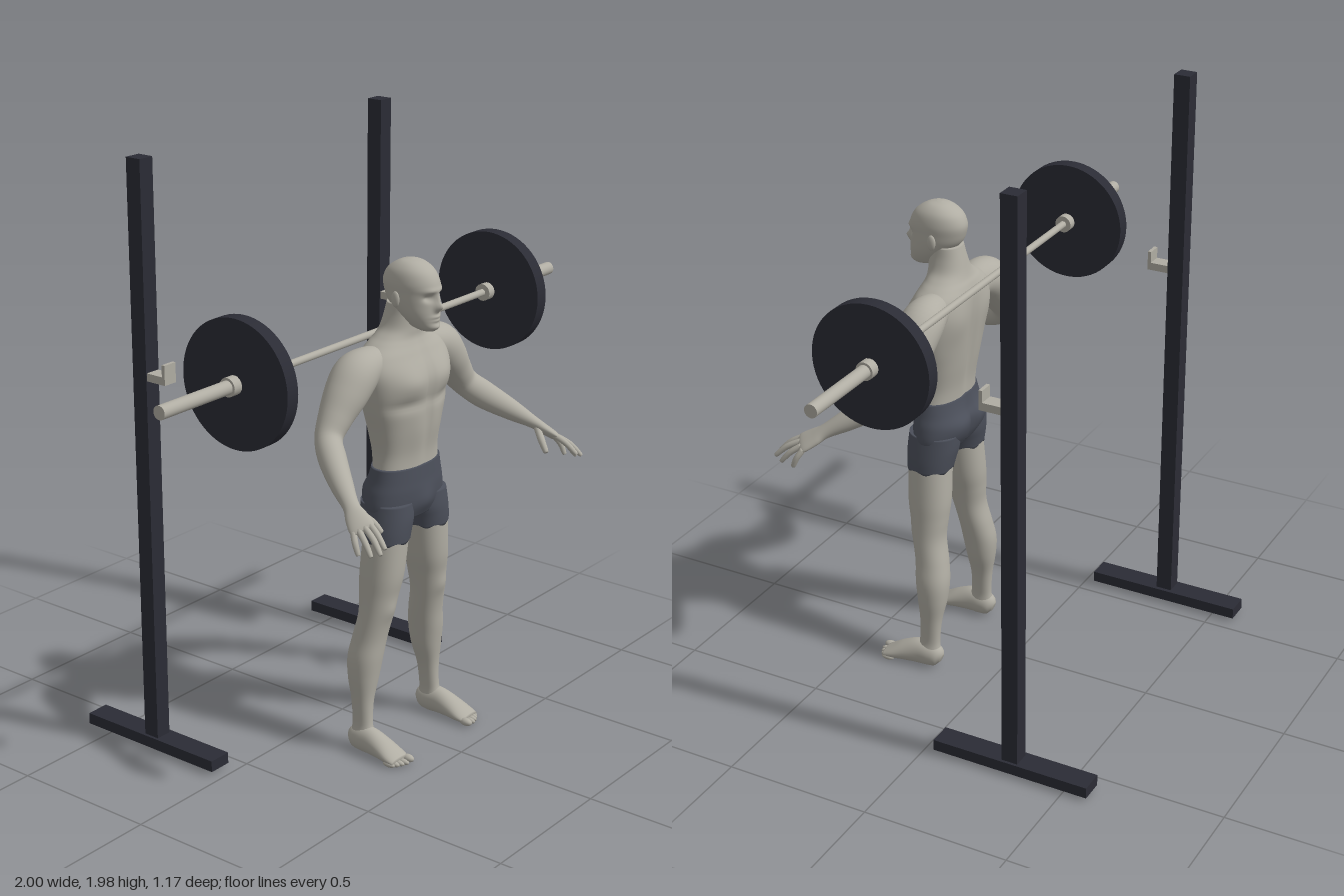
import * as THREE from 'three';

const material = (name, color) => Object.assign(new THREE.MeshStandardMaterial({ color }), { name });
const V = (x, y, z) => new THREE.Vector3(x, y, z);

// Catmull-Rom resampling of rows of numbers, n steps between neighbours
function resample(rows, n) {
  const out = [], last = rows.length - 1;
  for (let i = 0; i < last; i++) {
    const a = rows[Math.max(i - 1, 0)], b = rows[i], c = rows[i + 1], d = rows[Math.min(i + 2, last)];
    for (let s = 0; s < n; s++) {
      const t = s / n;
      out.push(b.map((p, k) => p + 0.5 * t * (c[k] - a[k] +
        t * (2 * a[k] - 5 * p + 4 * c[k] - d[k] + t * (3 * (p - c[k]) + d[k] - a[k])))));
    }
  }
  out.push(rows[last]);
  return out;
}

// Closed smooth skin over a list of rings, capped at both ends
function skinRings(rings) {
  const n = rings[0].length, m = rings.length, pts = rings.flat(), index = [];
  for (let i = 0; i < m - 1; i++) for (let j = 0; j < n; j++) {
    const a = i * n + j, b = i * n + (j + 1) % n;
    index.push(a, a + n, b, b, a + n, b + n);
  }
  for (const ring of [rings[0], rings[m - 1]]) {
    const centre = V(0, 0, 0);
    ring.forEach(p => centre.addScaledVector(p, 1 / n));
    pts.push(centre);
  }
  for (let j = 0; j < n; j++) {
    const k = (j + 1) % n, top = (m - 1) * n;
    index.push(m * n, j, k, m * n + 1, top + k, top + j);
  }
  const g = new THREE.BufferGeometry().setFromPoints(pts);
  g.setIndex(index);
  g.computeVertexNormals();
  return g;
}

// Horizontal sections, bottom to top: [y, centreX, halfWidth, zFront, zBack]
// bumps: [x, y, side, sizeX, sizeY, height]; those off centre are mirrored
function loft(rows, bumps = [], { sides = 48, steps = 6, power = 0.9, hem = 0 } = {}) {
  const all = bumps.flatMap(b => b[0] ? [b, [-b[0], ...b.slice(1)]] : [b]);
  const bend = v => Math.sign(v) * Math.abs(v) ** power;
  return skinRings(resample(rows, steps).map(([y, cx, hw, zf, zb], i) =>
    Array.from({ length: sides }, (_, j) => {
      const a = j / sides * Math.PI * 2, s = Math.sin(a);
      const p = V(cx + hw * bend(Math.cos(a)), y, (zf + zb) / 2 + (zf - zb) / 2 * bend(s));
      for (const [bx, by, side, sx, sy, h] of all)
        p.z += side * h * Math.min(1, 2 * Math.max(0, s * side)) *
          Math.exp(-(((p.x - bx) / sx) ** 2) - ((y - by) / sy) ** 2);
      if (i === 0) p.y += hem * Math.sin(a * 7);
      return p;
    })));
}

// Oval sections along a path: [x, y, z, radiusAlongWide, radiusAcross]
function limb(rows, wide, side = 1, sides = 20, steps = 5) {
  const r = resample(rows, steps).map(([x, ...rest]) => [x * side, ...rest]);
  const at = i => V(...r[Math.min(Math.max(i, 0), r.length - 1)].slice(0, 3));
  return skinRings(r.map((row, i) => {
    const t = at(i + 1).sub(at(i - 1)).normalize();
    const u = V(wide[0] * side, wide[1], wide[2]);
    u.addScaledVector(t, -u.dot(t)).normalize();
    const v = u.clone().cross(t);
    return Array.from({ length: sides }, (_, j) => {
      const a = j / sides * Math.PI * 2;
      return at(i).addScaledVector(u, row[3] * Math.cos(a)).addScaledVector(v, row[4] * Math.sin(a));
    });
  }));
}

export function createModel() {
  const skin = material('skin', 0xb0ada3), cloth = material('shorts cloth', 0x4c505b);
  const steel = material('bar steel', 0xb0ada3), iron = material('dark iron', 0x2b2c35);
  const model = new THREE.Group(), rack = new THREE.Group(), barbell = new THREE.Group(), athlete = new THREE.Group();
  rack.name = 'rack'; barbell.name = 'barbell'; athlete.name = 'athlete';
  model.add(rack, barbell, athlete);

  const add = (group, name, geometry, mat, x = 0, y = 0, z = 0) => {
    const mesh = new THREE.Mesh(geometry, mat);
    mesh.name = name;
    mesh.position.set(x, y, z);
    group.add(mesh);
    return mesh;
  };
  const box = (name, mat, w, h, d, x, y, z) => add(rack, name, new THREE.BoxGeometry(w, h, d), mat, x, y, z);
  const rod = (name, mat, r, x0, x1, n = 32) =>
    add(barbell, name, new THREE.CylinderGeometry(r, r, Math.abs(x1 - x0), n).rotateZ(Math.PI / 2), mat, (x0 + x1) / 2, 1.37, 0.13);

  rod('bar', steel, 0.012, -0.61, 0.61, 20);

  // Torso with chest, belly and back relief, and neck
  add(athlete, 'torso', loft([
    [0.955, 0, 0.138, 0.333, 0.183], [1.02, 0, 0.134, 0.333, 0.178], [1.1, 0, 0.15, 0.342, 0.165],
    [1.17, 0, 0.17, 0.348, 0.156], [1.24, 0, 0.185, 0.35, 0.15], [1.3, 0, 0.19, 0.343, 0.147],
    [1.345, 0, 0.17, 0.325, 0.148], [1.375, 0, 0.13, 0.31, 0.157], [1.395, 0, 0.1, 0.303, 0.167],
    [1.42, 0, 0.074, 0.303, 0.175], [1.46, 0, 0.06, 0.303, 0.185], [1.5, 0, 0.054, 0.3, 0.195],
  ], [
    [0.08, 1.26, 1, 0.07, 0.045, 0.016], [0, 1.2, 1, 0.012, 0.16, -0.01],
    [0.045, 1.1, 1, 0.035, 0.09, 0.006], [0.09, 1.19, 1, 0.07, 0.018, -0.008],
    [0, 1.15, -1, 0.02, 0.16, -0.014], [0.1, 1.27, -1, 0.06, 0.07, 0.01],
  ], { sides: 72 }), skin);

  // Head with face relief
  add(athlete, 'head', loft([
    [1.42, 0, 0.02, 0.364, 0.31], [1.432, 0, 0.036, 0.374, 0.28], [1.455, 0, 0.051, 0.374, 0.255],
    [1.48, 0, 0.061, 0.374, 0.225], [1.51, 0, 0.067, 0.373, 0.195], [1.54, 0, 0.069, 0.373, 0.182],
    [1.57, 0, 0.07, 0.372, 0.178], [1.6, 0, 0.064, 0.357, 0.19], [1.62, 0, 0.052, 0.335, 0.212],
    [1.634, 0, 0.033, 0.308, 0.238], [1.64, 0, 0.006, 0.28, 0.262],
  ], [
    [0, 1.5, 1, 0.012, 0.015, 0.022], [0, 1.525, 1, 0.008, 0.02, 0.01], [0.028, 1.53, 1, 0.014, 0.011, -0.013],
    [0.025, 1.552, 1, 0.025, 0.009, 0.006], [0, 1.468, 1, 0.02, 0.006, 0.006],
    [0, 1.456, 1, 0.018, 0.005, 0.005], [0, 1.435, 1, 0.02, 0.01, 0.006],
  ], { sides: 80, steps: 8, power: 0.95 }), skin);

  // Shorts, upper part
  add(athlete, 'shortsSeat', loft([
    [0.8, 0, 0.15, 0.325, 0.185], [0.84, 0, 0.168, 0.338, 0.165], [0.89, 0, 0.163, 0.342, 0.16],
    [0.93, 0, 0.151, 0.34, 0.172], [0.975, 0, 0.141, 0.337, 0.18],
  ], [
    [0.075, 0.885, -1, 0.06, 0.05, 0.014], [0, 0.87, -1, 0.014, 0.07, -0.014], [0, 0.85, 1, 0.04, 0.04, 0.01],
  ], { sides: 64 }), cloth);

  for (const s of [1, -1]) {
    const side = s > 0 ? 'left' : 'right';

    // Rack: foot, upright and hook
    box(side + 'RackFoot', iron, 0.08, 0.038, 0.55, s * 0.59, 0.031, -0.311);
    box(side + 'Upright', iron, 0.056, 1.935, 0.056, s * 0.592, 1.0125, -0.309);
    box(side + 'HookBase', steel, 0.05, 0.026, 0.073, s * 0.592, 1.295, -0.246);
    box(side + 'HookLip', steel, 0.05, 0.065, 0.012, s * 0.592, 1.3145, -0.212);

    // Barbell end: sleeve, plate and collars
    rod(side + 'Sleeve', steel, 0.022, s * 0.605, s);
    rod(side + 'InnerCollar', steel, 0.029, s * 0.597, s * 0.628);
    rod(side + 'Plate', iron, 0.204, s * 0.627, s * 0.675, 64);
    rod(side + 'OuterCollar', steel, 0.03, s * 0.675, s * 0.708, 16);

    // Arm and palm
    const wide = [0.75, -0.36, -0.57];
    add(athlete, side + 'Arm', limb([
      [0.1, 1.315, 0.225, 0.05, 0.05], [0.16, 1.318, 0.224, 0.064, 0.062], [0.215, 1.3, 0.222, 0.073, 0.072],
      [0.265, 1.25, 0.222, 0.069, 0.067], [0.315, 1.19, 0.222, 0.055, 0.056], [0.36, 1.135, 0.232, 0.044, 0.046],
      [0.4, 1.09, 0.28, 0.044, 0.046], [0.45, 1.04, 0.355, 0.036, 0.035], [0.488, 1.0, 0.42, 0.026, 0.021],
      [0.503, 0.98, 0.45, 0.034, 0.018], [0.52, 0.958, 0.485, 0.04, 0.014], [0.526, 0.95, 0.499, 0.034, 0.007],
    ], wide, s, 32), skin);

    // Thumb and fingers: base, knuckle, tip
    [
      [[0.485, 0.985, 0.44], [0.459, 0.955, 0.476], [0.447, 0.925, 0.502]],
      [[0.5, 0.967, 0.498], [0.511, 0.944, 0.538], [0.52, 0.913, 0.572]],
      [[0.517, 0.96, 0.493], [0.533, 0.936, 0.54], [0.545, 0.903, 0.575]],
      [[0.532, 0.952, 0.484], [0.547, 0.926, 0.52], [0.556, 0.893, 0.548]],
      [[0.543, 0.945, 0.473], [0.556, 0.918, 0.49], [0.559, 0.887, 0.503]],
    ].forEach(([a, b, c], i) => {
      const r = i === 0 ? 0.012 : 0.01;
      const tip = c.map((v, k) => v + (c[k] - b[k]) * 0.1);
      add(athlete, side + (i ? 'Finger' + i : 'Thumb'),
        limb([[...a, r, r], [...b, r, r], [...c, r * 0.75, r * 0.75], [...tip, r * 0.2, r * 0.2]], wide, s, 10, 4), skin);
    });

    // Ear
    add(athlete, side + 'Ear', new THREE.SphereGeometry(1, 16, 12).scale(0.008, 0.026, 0.015), skin, s * 0.07, 1.52, 0.265);

    // Short leg and bare leg
    add(athlete, side + 'ShortsLeg', loft([
      [0.735, s * 0.105, 0.074, 0.338, 0.186], [0.77, s * 0.1, 0.077, 0.341, 0.178],
      [0.81, s * 0.092, 0.08, 0.342, 0.17], [0.86, s * 0.088, 0.076, 0.338, 0.166],
    ], [], { hem: 0.005 }), cloth);
    add(athlete, side + 'Leg', loft([
      [0.03, s * 0.188, 0.03, 0.275, 0.195], [0.06, s * 0.187, 0.03, 0.28, 0.192], [0.1, s * 0.184, 0.026, 0.268, 0.196],
      [0.18, s * 0.18, 0.033, 0.266, 0.19], [0.26, s * 0.172, 0.049, 0.275, 0.175], [0.33, s * 0.165, 0.056, 0.284, 0.17],
      [0.4, s * 0.152, 0.056, 0.291, 0.18], [0.48, s * 0.14, 0.057, 0.306, 0.195], [0.55, s * 0.13, 0.061, 0.318, 0.191],
      [0.62, s * 0.12, 0.067, 0.33, 0.186], [0.73, s * 0.107, 0.07, 0.334, 0.189], [0.78, s * 0.1, 0.07, 0.334, 0.19],
    ], [[s * 0.14, 0.5, 1, 0.03, 0.03, 0.006]].slice(0, 1)), skin);

    // Foot and toes
    add(athlete, side + 'Foot', limb([
      [0.187, 0.035, 0.186, 0.012, 0.016], [0.187, 0.04, 0.2, 0.03, 0.036], [0.188, 0.045, 0.23, 0.036, 0.045],
      [0.19, 0.046, 0.27, 0.037, 0.046], [0.192, 0.036, 0.32, 0.042, 0.036], [0.194, 0.023, 0.365, 0.046, 0.023],
      [0.195, 0.015, 0.395, 0.042, 0.013],
    ], [1, 0, 0], s, 28), skin);
    for (let i = 0; i < 5; i++) {
      const r = i ? 0.01 : 0.014;
      add(athlete, side + 'Toe' + (i + 1), new THREE.SphereGeometry(1, 12, 8).scale(r, r * 0.95, 0.024),
        skin, s * [0.163, 0.186, 0.203, 0.218, 0.231][i], r, [0.402, 0.4, 0.394, 0.386, 0.376][i]);
    }
  }
  return model;
}
